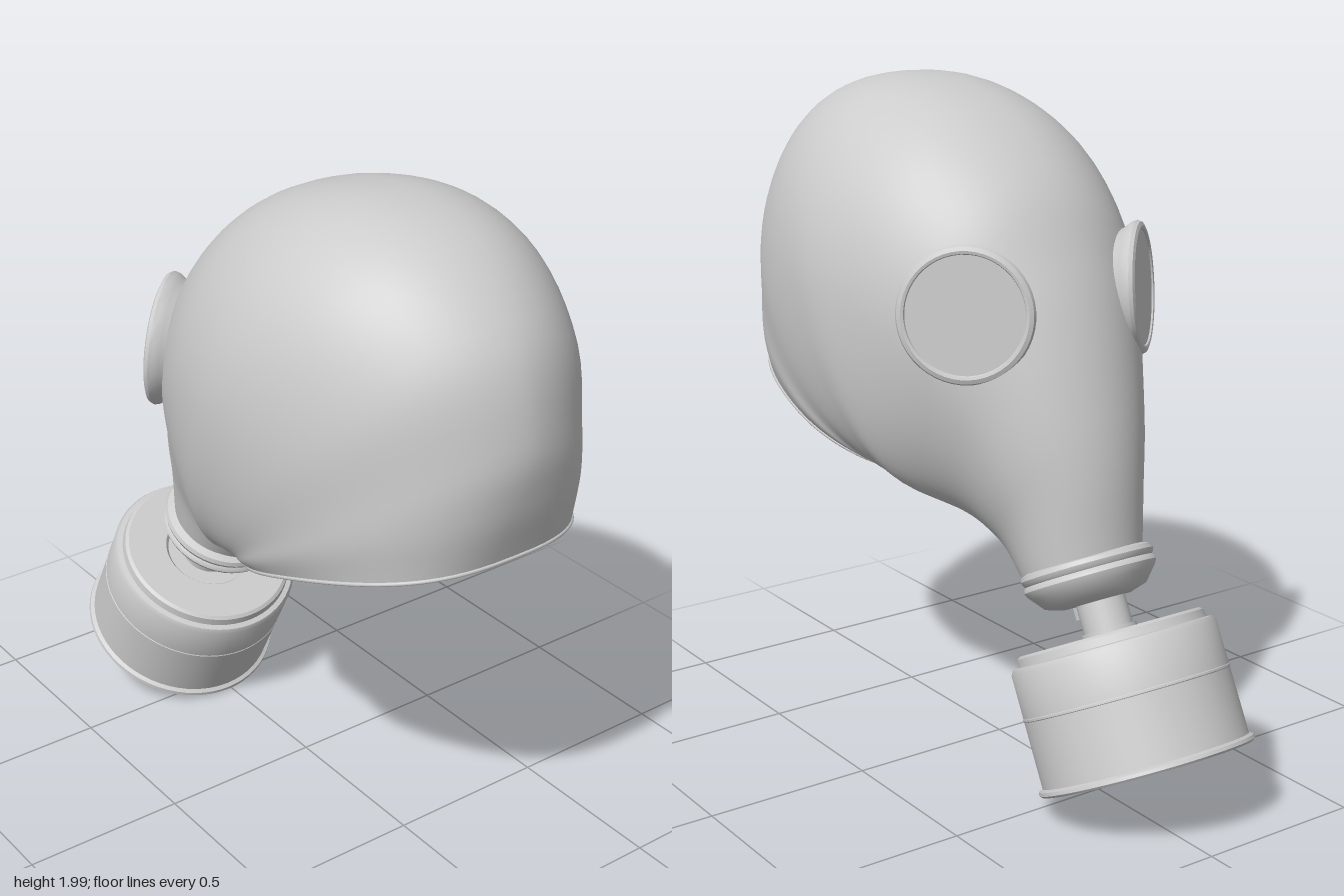
import * as THREE from 'three';
import { toCreasedNormals } from 'three/addons/utils/BufferGeometryUtils.js';

const material = new THREE.MeshStandardMaterial({ color: 0xcccccc });
const shellMaterial = new THREE.MeshStandardMaterial({ color: 0xcccccc, side: THREE.DoubleSide });

function addMesh(parent, name, geometry, mat = material) {
  const mesh = new THREE.Mesh(geometry, mat);
  mesh.name = name;
  parent.add(mesh);
  return mesh;
}

// Turned part from [radius, height] pairs, listed bottom to top
function turned(profile, segments = 48) {
  const points = profile.map(([r, h]) => new THREE.Vector2(r, h));
  return toCreasedNormals(new THREE.LatheGeometry(points, segments), 0.6);
}

// Hood sections fan out from the chin: outer end [z, y, halfWidth]
const OUTER = [
  [0.92, 1.14, 0.43], [0.965, 1.32, 0.455], [0.975, 1.5, 0.465], [0.9, 1.75, 0.49],
  [0.68, 1.94, 0.508], [0.38, 2.0, 0.51], [0.05, 1.93, 0.47], [-0.2, 1.76, 0.41],
  [-0.34, 1.55, 0.347], [-0.43, 1.36, 0.295], [-0.5, 1.15, 0.25], [-0.54, 0.97, 0.21],
  [-0.563, 0.765, 0.182],
];
// Chin end of each section [z, y, roundness of the outer half]
const CHIN = [
  [0.07, 0.85, 0.72], [0.06, 0.843, 0.95], [0.05, 0.836, 1.12], [0.035, 0.825, 1.05],
  [0.02, 0.814, 0.93], [0, 0.8, 0.87], [-0.02, 0.787, 0.88], [-0.045, 0.772, 0.95],
  [-0.075, 0.755, 0.97], [-0.11, 0.733, 1], [-0.15, 0.705, 1], [-0.195, 0.665, 1],
  [-0.245, 0.605, 1],
];
const curveThrough = (rows) =>
  new THREE.CatmullRomCurve3(rows.map((r) => new THREE.Vector3(...r)), false, 'catmullrom', 0.5);
const outerCurve = curveThrough(OUTER);
const chinCurve = curveThrough(CHIN);

// Point on the hood: t runs from the head opening to the neck, a goes round the section
function hoodPoint(t, a) {
  const outer = outerCurve.getPoint(t);
  const chin = chinCurve.getPoint(t);
  const c = Math.cos(a);
  const widest = 0.43 + 0.09 * THREE.MathUtils.smoothstep(t, 0.2, 0.45);
  const s = widest + (c > 0 ? 1 - widest : widest) * c;
  const side = Math.sin(a);
  // The jaw half is fullest on the sections between opening and neck
  const jawRoundness = 0.72 + 0.28 * t ** 4 - 0.18 * Math.sin(Math.PI * t);
  const x = outer.z * Math.sign(side) * Math.pow(Math.abs(side), c > 0 ? chin.z : jawRoundness);
  const bow = 0.03 * Math.sin(Math.PI * s) * Math.pow(1 - t, 8);
  return new THREE.Vector3(
    x,
    THREE.MathUtils.lerp(chin.y, outer.y, s) + bow,
    THREE.MathUtils.lerp(chin.x, outer.x, s)
  );
}

function hoodGeometry(rings = 60, around = 80) {
  const positions = [];
  const index = [];
  for (let i = 0; i <= rings; i++) {
    for (let j = 0; j < around; j++) {
      positions.push(...hoodPoint(i / rings, (j / around) * Math.PI * 2).toArray());
      if (i === rings) continue;
      const a = i * around + j;
      const b = i * around + ((j + 1) % around);
      index.push(a, b, a + around, b, b + around, a + around);
    }
  }
  const geometry = new THREE.BufferGeometry();
  geometry.setAttribute('position', new THREE.Float32BufferAttribute(positions, 3));
  geometry.setIndex(index);
  geometry.computeVertexNormals();
  return geometry;
}

function createEyepiece(side) {
  const eyepiece = new THREE.Group();
  eyepiece.name = side > 0 ? 'leftEyepiece' : 'rightEyepiece';
  addMesh(eyepiece, 'eyeRim', turned([
    [0.16, -0.06], [0.18, -0.025], [0.192, -0.008], [0.195, 0.004],
    [0.19, 0.015], [0.178, 0.02], [0.17, 0.018], [0.165, 0.008],
  ]));
  addMesh(eyepiece, 'lens', new THREE.CylinderGeometry(0.168, 0.168, 0.01, 48)).position.y = 0.008;
  eyepiece.position.set(0.303 * side, 1.42, -0.268);
  const normal = new THREE.Vector3(0.67 * side, 0.08, -0.74).normalize();
  eyepiece.quaternion.setFromUnitVectors(new THREE.Vector3(0, 1, 0), normal);
  return eyepiece;
}

// Neck fitting and filter canister share one tilted axis
function createBreathingUnit() {
  const unit = new THREE.Group();
  unit.name = 'breathingUnit';
  addMesh(unit, 'filterCanister', turned([
    [0, 0], [0.31, 0], [0.316, 0.006], [0.314, 0.016], [0.302, 0.022],
    [0.302, 0.214], [0.304, 0.216], [0.304, 0.222], [0.302, 0.224],
    [0.302, 0.35], [0.294, 0.364], [0.278, 0.367], [0.274, 0.39], [0.264, 0.397],
    [0.14, 0.397], [0.13, 0.385], [0.09, 0.385], [0, 0.385],
  ], 64));
  addMesh(unit, 'connectorPipe', new THREE.CylinderGeometry(0.072, 0.072, 0.17, 32)).position.y = 0.455;
  addMesh(unit, 'pipeCollar', new THREE.CylinderGeometry(0.082, 0.082, 0.025, 32)).position.y = 0.395;
  addMesh(unit, 'neckClamp', turned([
    [0, 0.49], [0.1, 0.49], [0.15, 0.505], [0.18, 0.54], [0.19, 0.552], [0.196, 0.564],
    [0.192, 0.576], [0.187, 0.58], [0.192, 0.585], [0.197, 0.597], [0.192, 0.61], [0.17, 0.618],
  ])).position.z = 0.017;
  addMesh(unit, 'valveLug', new THREE.BoxGeometry(0.04, 0.045, 0.05)).position.set(0, 0.475, 0.09);
  unit.position.set(-0.015, 0.148, -0.703);
  unit.rotation.x = 0.478;
  return unit;
}

export function createModel() {
  const model = new THREE.Group();
  model.name = 'gasMask';
  addMesh(model, 'hood', hoodGeometry(), shellMaterial);

  // Rolled edge round the head opening
  const rimPoints = Array.from({ length: 48 }, (_, i) => hoodPoint(0, (i / 48) * Math.PI * 2));
  const rimCurve = new THREE.CatmullRomCurve3(rimPoints, true);
  addMesh(model, 'openingRim', new THREE.TubeGeometry(rimCurve, 96, 0.006, 8, true));

  for (const side of [1, -1]) model.add(createEyepiece(side));
  model.add(createBreathingUnit());
  return model;
}
